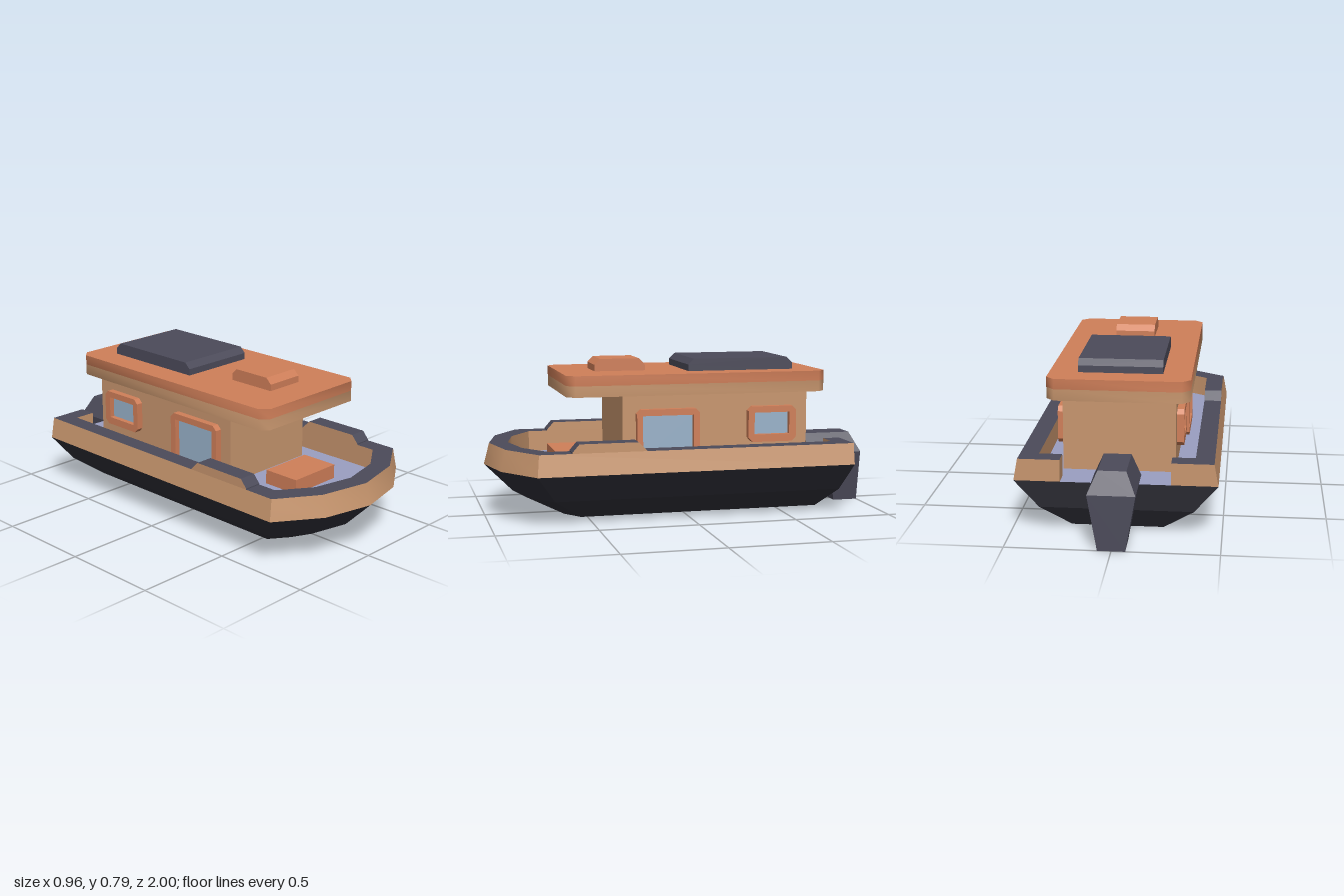
import * as THREE from 'three';
import { toCreasedNormals } from 'three/addons/utils/BufferGeometryUtils.js';

const mat = (name, color) => {
  const m = new THREE.MeshStandardMaterial({ color });
  m.name = name;
  return m;
};

// Skin between horizontal rings { y, p: [[x, z], ...] }; group 0 = sides and bottom, group 1 = top.
function loft(rings, crease = 0) {
  const toV = (r) => r.p.map(([x, z]) => new THREE.Vector2(x, z));
  const flip = THREE.ShapeUtils.area(toV(rings[0])) < 0;
  const rs = rings.map((r) => ({ y: r.y, p: flip ? [...r.p].reverse() : r.p }));
  const pos = [];
  const put = (r, i) => pos.push(r.p[i][0], r.y, r.p[i][1]);
  const cap = (r, up) => {
    for (const [a, b, c] of THREE.ShapeUtils.triangulateShape(toV(r), [])) {
      const [A, B, C] = [r.p[a], r.p[b], r.p[c]];
      const area = (B[0] - A[0]) * (C[1] - A[1]) - (B[1] - A[1]) * (C[0] - A[0]);
      const order = (area < 0) === up ? [a, b, c] : [a, c, b];
      order.forEach((i) => put(r, i));
    }
  };
  cap(rs[0], false);
  for (let k = 0; k < rs.length - 1; k++) {
    const lo = rs[k], hi = rs[k + 1], n = lo.p.length;
    for (let i = 0; i < n; i++) {
      const j = (i + 1) % n;
      put(lo, i); put(hi, j); put(lo, j);
      put(lo, i); put(hi, i); put(hi, j);
    }
  }
  const split = pos.length / 3;
  cap(rs[rs.length - 1], true);
  const total = pos.length / 3;
  let g = new THREE.BufferGeometry();
  g.setAttribute('position', new THREE.Float32BufferAttribute(pos, 3));
  g.computeVertexNormals();
  if (crease) g = toCreasedNormals(g, crease);
  g.clearGroups();
  g.addGroup(0, split, 0);
  g.addGroup(split, total - split, 1);
  return g;
}

// Extrude a [z, y] profile along x between x0 and x1.
function extrudeX(profile, x0, x1, hole) {
  const pts = (a) => a.map(([z, y]) => new THREE.Vector2(z, y));
  const shape = new THREE.Shape(pts(profile));
  if (hole) shape.holes.push(new THREE.Path(pts(hole)));
  const g = new THREE.ExtrudeGeometry(shape, { depth: x1 - x0, bevelEnabled: false });
  return g.rotateY(-Math.PI / 2).translate(x1, 0, 0);
}

// Rectangle with cut corners.
const cutRect = (a0, a1, b0, b1, c) => [
  [a0 + c, b0], [a1 - c, b0], [a1, b0 + c], [a1, b1 - c],
  [a1 - c, b1], [a0 + c, b1], [a0, b1 - c], [a0, b0 + c],
];
const rect = (a0, a1, b0, b1) => [[a0, b0], [a1, b0], [a1, b1], [a0, b1]];

// Mirror a half outline across x = 0.
const mirror = (half) => [
  ...half,
  ...[...half].reverse().filter(([x]) => x > 0).map(([x, z]) => [-x, z]),
];

export function createModel() {
  const group = new THREE.Group();
  group.name = 'houseboat';
  const tan = mat('tan wood', 0xc8966e);
  const orange = mat('terracotta', 0xd07f59);
  const dark = mat('dark hull', 0x31313a);
  const slate = mat('slate trim', 0x4c4b5a);
  const lilac = mat('lilac deck', 0x9a9fc2);
  const blue = mat('window blue', 0x9ab3cb);

  const add = (name, geometry, material) => {
    const m = new THREE.Mesh(geometry, material);
    m.name = name;
    group.add(m);
  };
  const box = (x0, x1, y0, y1, z0, z1) =>
    new THREE.BoxGeometry(x1 - x0, y1 - y0, z1 - z0)
      .translate((x0 + x1) / 2, (y0 + y1) / 2, (z0 + z1) / 2);

  // Hull with chine, topped by the deck
  const deckY = 0.263;
  add('hull', loft([
    { y: 0.01, p: mirror([[0.22, -0.705], [0.22, 0.54], [0.12, 0.61], [0, 0.635]]) },
    { y: 0.12, p: mirror([[0.367, -0.78], [0.367, 0.69], [0.2, 0.81], [0, 0.855]]) },
    { y: deckY, p: mirror([[0.48, -0.818], [0.48, 0.79], [0.26, 0.94], [0, 0.998]]) },
  ]), [dark, lilac]);

  // Bulwark, open at the stern
  const inner = [[0, 0.875], [0.21, 0.83], [0.37, 0.72], [0.37, -0.73], [0.26, -0.73], [0.26, -0.818]];
  const wall = (outer) => {
    const right = [...inner, ...outer];
    const left = right.map(([x, z]) => [-x, z]).reverse();
    // the two halves share the centre line at the bow
    return [...right, ...left.slice(1, -1)];
  };
  add('bulwark', loft([
    { y: deckY, p: wall([[0.48, -0.818], [0.48, 0.79], [0.26, 0.94], [0, 0.998]]) },
    { y: 0.37, p: wall([[0.46, -0.818], [0.46, 0.78], [0.255, 0.915], [0, 0.97]]) },
  ], 0.8), [tan, slate]);

  // Cabin and two-layer roof
  add('cabin', box(-0.27, 0.27, deckY, 0.63, -0.63, 0.335), tan);
  const roof = cutRect(-0.34, 0.34, -0.71, 0.622, 0.04);
  add('roofEdge', loft([{ y: 0.625, p: roof }, { y: 0.68, p: roof }], 0.82), [tan, tan]);
  add('roofTop', loft([{ y: 0.68, p: roof }, { y: 0.73, p: roof }], 0.82), [orange, orange]);

  // Roof fittings with sloped ends
  const hump = (z0, z1) => [
    [z0, 0.73], [z1, 0.73], [z1, 0.763], [z1 - 0.03, 0.792], [z0 + 0.03, 0.792], [z0, 0.763],
  ];
  add('solarPanel', extrudeX(hump(-0.575, -0.02), -0.203, 0.203), slate);
  add('roofHatch', extrudeX(hump(0.183, 0.443), -0.102, 0.102), orange);

  // Bow locker
  add('bowLocker', box(-0.145, 0.145, deckY, 0.335, 0.46, 0.655), orange);

  for (const s of [1, -1]) {
    const side = s > 0 ? 'left' : 'right';
    const span = (a, b) => (s > 0 ? [a, b] : [-b, -a]);

    // Raised rail
    add(side + 'RaisedRail', extrudeX(
      [[0.25, 0.365], [0.62, 0.365], [0.62, 0.375], [0.585, 0.415], [0.295, 0.415], [0.25, 0.37]],
      ...span(0.37, 0.46)), [tan, slate]);

    // Door and window: frame plus thin pane
    for (const [name, z0, z1, y0, g0, g1, h0] of [
      ['Door', -0.055, 0.268, deckY, -0.022, 0.238, 0.3],
      ['Window', -0.563, -0.31, 0.37, -0.527, -0.342, 0.408],
    ]) {
      add(side + name + 'Frame', extrudeX(
        cutRect(z0, z1, y0, 0.552, 0.022), ...span(0.268, 0.305), rect(g0, g1, h0, 0.52)), orange);
      const [a, b] = span(0.27, 0.278);
      add(side + name + 'Glass', box(a, b, h0, 0.52, g0, g1), blue);
    }
  }

  // Outboard motor: tapered leg and head
  add('motorLeg', loft([
    { y: 0, p: rect(-0.065, 0.065, -1, -0.87) },
    { y: 0.268, p: rect(-0.112, 0.112, -1, -0.815) },
  ]), [slate, slate]);
  add('motorHead', loft([
    { y: 0.268, p: rect(-0.112, 0.112, -1, -0.7) },
    { y: 0.37, p: rect(-0.066, 0.066, -0.948, -0.7) },
  ]), [slate, slate]);

  return group;
}
